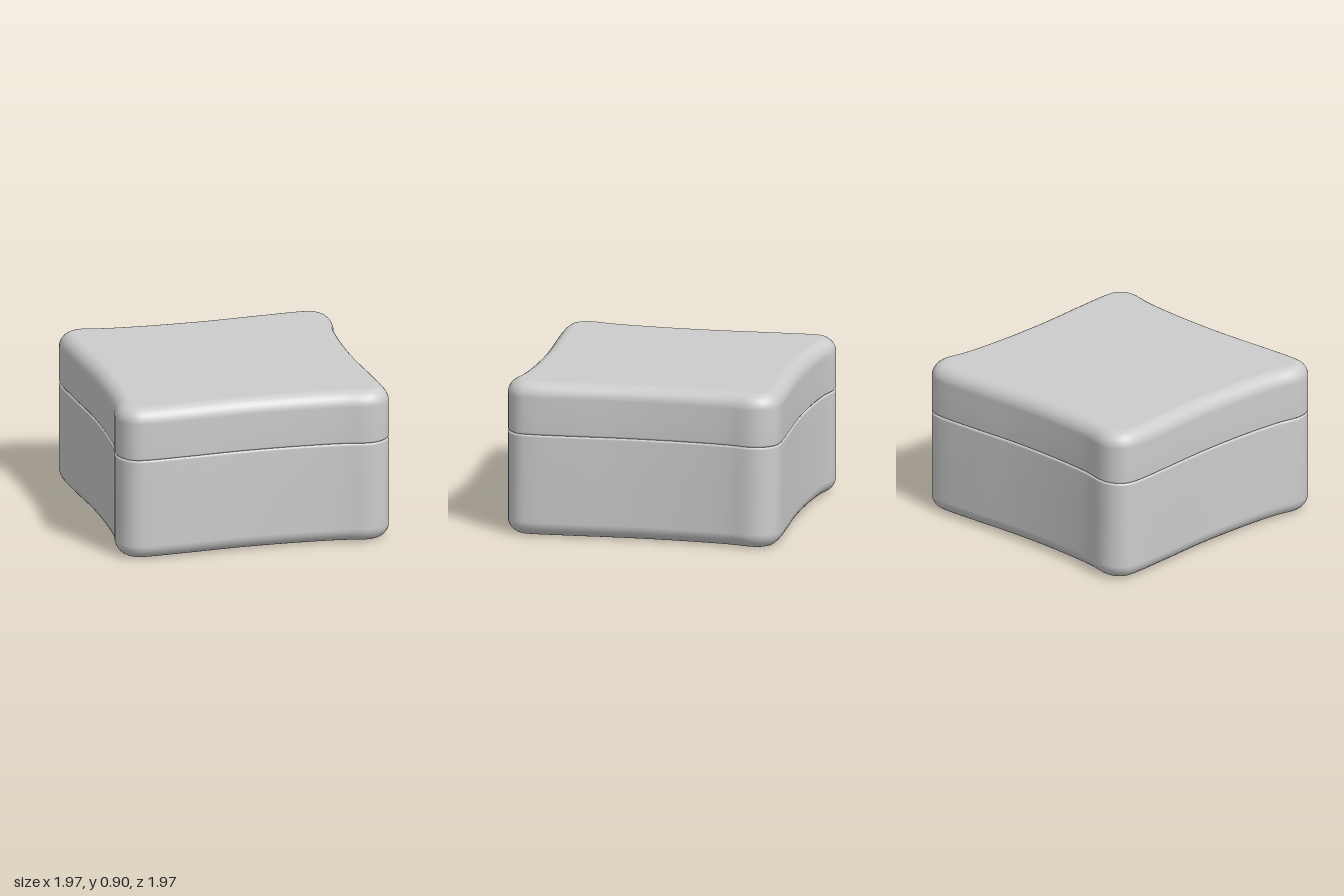
import * as THREE from 'three';

const lightGrey = new THREE.MeshStandardMaterial({ color: 0xcccccc });
lightGrey.name = 'light grey';

// One rounded corner and one slightly hollow side, as [x, z]; repeated four times
const quarter = [
  [-0.53, 0.87], [-0.505, 0.925], [-0.46, 0.967], [-0.4, 0.987], [-0.33, 0.972],
  [-0.1, 0.873], [0.19, 0.742], [0.5, 0.625], [0.75, 0.55],
];

// Plan outline with outward normals, running counter-clockwise from above
function makeOutline(count) {
  const points = [];
  for (let k = 0; k < 4; k++) {
    for (const [px, pz] of quarter) {
      let x = px, z = pz;
      for (let r = 0; r < k; r++) [x, z] = [z, -x];
      points.push(new THREE.Vector3(x, 0, z));
    }
  }
  const curve = new THREE.CatmullRomCurve3(points, true, 'centripetal');
  curve.arcLengthDivisions = 800;
  return Array.from({ length: count }, (_, i) => {
    const p = curve.getPointAt(i / count), t = curve.getTangentAt(i / count);
    return { x: p.x, z: p.z, nx: -t.z, nz: t.x };
  });
}

// Skin of rings, each [inset, height], closed at the bottom or the top
function makeShell(name, outline, profile, capTop) {
  const n = outline.length, positions = [], index = [];
  for (const [inset, y] of profile) {
    for (const o of outline) positions.push(o.x - o.nx * inset, y, o.z - o.nz * inset);
  }
  for (let r = 0; r < profile.length - 1; r++) {
    for (let i = 0; i < n; i++) {
      const a = r * n + i, b = r * n + (i + 1) % n;
      index.push(a, b, b + n, a, b + n, a + n);
    }
  }
  const ring = capTop ? (profile.length - 1) * n : 0;
  const centre = positions.length / 3;
  positions.push(0, profile[capTop ? profile.length - 1 : 0][1], 0);
  for (let i = 0; i < n; i++) {
    const a = ring + i, b = ring + (i + 1) % n;
    if (capTop) index.push(centre, a, b);
    else index.push(centre, b, a);
  }
  const geometry = new THREE.BufferGeometry();
  geometry.setAttribute('position', new THREE.Float32BufferAttribute(positions, 3));
  geometry.setIndex(index);
  geometry.computeVertexNormals();
  const mesh = new THREE.Mesh(geometry, lightGrey);
  mesh.name = name;
  return mesh;
}

export function createModel() {
  const group = new THREE.Group();
  group.name = 'liddedBox';
  const outline = makeOutline(192);
  const radius = 0.085, height = 0.9, seam = 0.597, groove = 0.012;

  // Quarter-round edge, from the flat face (0) to the upright wall (1)
  const edge = Array.from({ length: 9 }, (_, i) => {
    const a = (i / 8) * Math.PI / 2;
    return [radius * (1 - Math.sin(a)), radius * (1 - Math.cos(a))];
  });

  // Lower box, up to the bottom of the seam groove
  const boxProfile = [...edge, [0, 0.35], [0, seam - 0.012], [0.004, seam - 0.005], [groove, seam]];
  group.add(makeShell('boxBody', outline, boxProfile, false));

  // Lid, from the groove to the flat top
  const lidEdge = edge.map(([inset, y]) => [inset, height - y]).reverse();
  const lidProfile = [[groove, seam], [0.004, seam + 0.005], [0, seam + 0.012], [0, 0.7], ...lidEdge];
  group.add(makeShell('lid', outline, lidProfile, true));
  return group;
}
